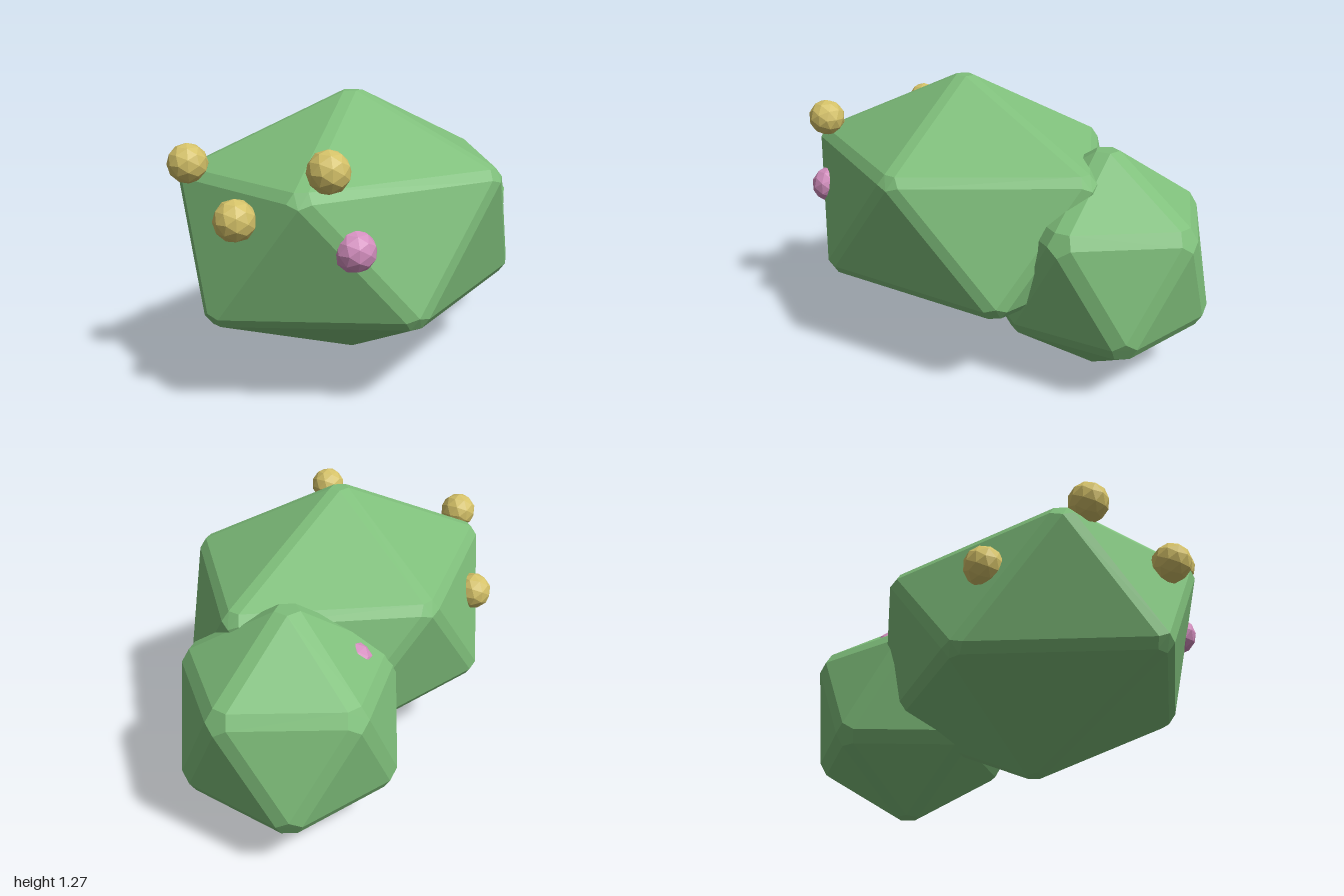
import * as THREE from 'three';
import { ConvexGeometry } from 'three/addons/geometries/ConvexGeometry.js';

const material = (name, color) => {
  const m = new THREE.MeshStandardMaterial({ color, flatShading: true });
  m.name = name;
  return m;
};

// Icosahedron standing on a vertex, stretched to the given radii, every edge chamfered by width
function chamferedIcosahedron(rx, ry, rz, width) {
  const ring = (y, turn) => Array.from({ length: 5 }, (_, i) => {
    const a = (i + turn) * Math.PI * 0.4;
    return new THREE.Vector3(0.8944 * Math.cos(a) * rx, y * ry, 0.8944 * Math.sin(a) * rz);
  });
  const upper = ring(0.4472, 0), lower = ring(-0.4472, 0.5);
  const top = new THREE.Vector3(0, ry, 0), bottom = new THREE.Vector3(0, -ry, 0);
  const points = [];

  // Shrink a face about its incentre so that each side moves inward by width
  const addFace = (a, b, c) => {
    const la = b.distanceTo(c), lb = c.distanceTo(a), lc = a.distanceTo(b);
    const perimeter = la + lb + lc;
    const centre = new THREE.Vector3()
      .addScaledVector(a, la / perimeter)
      .addScaledVector(b, lb / perimeter)
      .addScaledVector(c, lc / perimeter);
    const area = new THREE.Triangle(a, b, c).getArea();
    const inradius = 2 * area / perimeter;
    for (const v of [a, b, c]) points.push(v.clone().lerp(centre, width / inradius));
  };

  for (let i = 0; i < 5; i++) {
    const j = (i + 1) % 5;
    addFace(top, upper[i], upper[j]);
    addFace(bottom, lower[i], lower[j]);
    addFace(upper[i], upper[j], lower[i]);
    addFace(lower[i], lower[j], upper[j]);
  }
  return new ConvexGeometry(points);
}

export function createModel() {
  const group = new THREE.Group();
  group.name = 'berryBush';
  const leafGreen = material('leafGreen', 0x7fbf7b);
  const berryYellow = material('berryYellow', 0xd4c168);
  const berryPink = material('berryPink', 0xd48fbf);

  const add = (name, geometry, mat, position) => {
    const mesh = new THREE.Mesh(geometry, mat);
    mesh.name = name;
    mesh.position.set(...position);
    group.add(mesh);
  };

  // Foliage clumps
  add('largeClump', chamferedIcosahedron(0.923, 0.624, 0.761, 0.028), leafGreen, [-0.165, 0.675, 0.0175]);
  add('smallClump', chamferedIcosahedron(0.55, 0.552, 0.546, 0.035), leafGreen, [0.53, 0.51, -0.2]);

  // Berries, the last one almost buried in the small clump
  const berry = new THREE.IcosahedronGeometry(0.086, 1);
  const yellowSpots = [
    [-0.7, 1.04, 0.445], [-0.85, 1.0, -0.26], [-0.915, 0.84, 0.145], [-0.51, 0.76, -0.53],
  ];
  const pinkSpots = [[-0.62, 0.73, 0.5], [0.379, 0.777, -0.417]];
  yellowSpots.forEach((p, i) => add('yellowBerry' + (i + 1), berry, berryYellow, p));
  pinkSpots.forEach((p, i) => add('pinkBerry' + (i + 1), berry, berryPink, p));

  return group;
}
